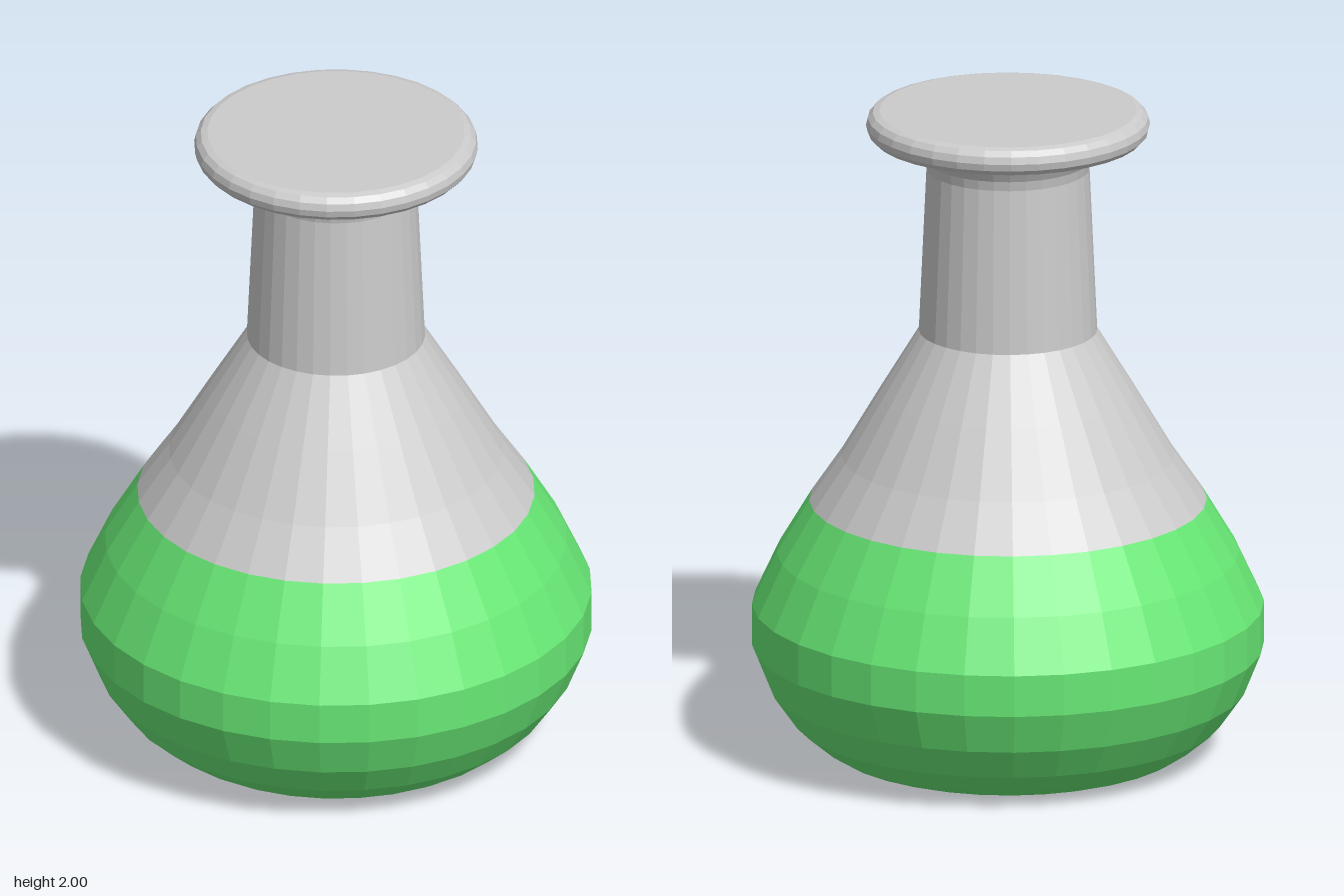
import * as THREE from 'three';

const SIDES = 32;

// Turned part from [radius, height] points, listed from bottom to top
function turned(name, points, color) {
  const profile = points.map(([r, y]) => new THREE.Vector2(r, y));
  const material = new THREE.MeshStandardMaterial({ color, flatShading: true });
  const mesh = new THREE.Mesh(new THREE.LatheGeometry(profile, SIDES), material);
  mesh.name = name;
  return mesh;
}

export function createModel() {
  const flask = new THREE.Group();
  flask.name = 'flask';

  // Filled lower bulb with a flat base and a softened foot
  const liquid = turned('liquidBulb', [
    [0, 0], [0.455, 0], [0.49, 0.006], [0.53, 0.02], [0.57, 0.045],
    [0.645, 0.108], [0.715, 0.208], [0.766, 0.335], [0.766, 0.462],
    [0.692, 0.622], [0.595, 0.785],
  ], 0x68e875);

  // Empty shoulder narrowing to the neck
  const shoulder = turned('shoulder', [
    [0.595, 0.785], [0.5, 0.925], [0.385, 1.12], [0.267, 1.315],
  ], 0xcccccc);

  // Tapered neck flaring out under the lip
  const neck = turned('neck', [
    [0.267, 1.315], [0.244, 1.82], [0.25, 1.85], [0.266, 1.88],
    [0.288, 1.9], [0.315, 1.913],
  ], 0xcccccc);

  // Closed lip with a rounded edge
  const lip = [[0.315, 1.913]];
  for (let i = 0; i <= 6; i++) {
    const a = -Math.PI / 2 + (i / 6) * Math.PI;
    lip.push([0.385 + 0.04 * Math.cos(a), 1.9565 + 0.0435 * Math.sin(a)]);
  }
  lip.push([0, 2]);

  flask.add(liquid, shoulder, neck, turned('lip', lip, 0xcccccc));
  return flask;
}
